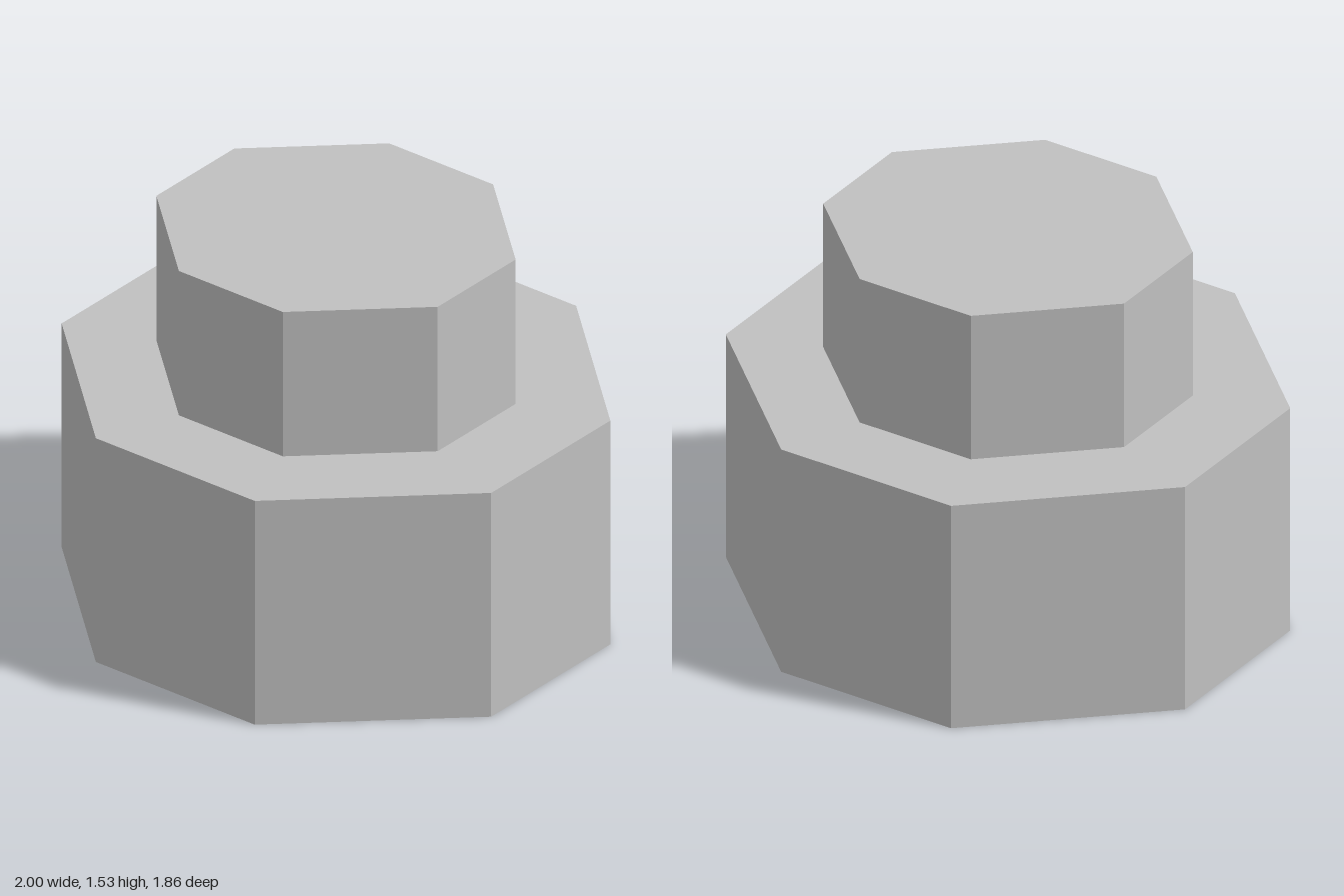
import * as THREE from 'three';

// Upright eight-sided prism: half extents hx, hz; flat sides end at cx, cz
function octagonPrism(hx, hz, cx, cz, height) {
  const corners = [
    [hx, -cz], [hx, cz], [cx, hz], [-cx, hz],
    [-hx, cz], [-hx, -cz], [-cx, -hz], [cx, -hz],
  ].map(([x, y]) => new THREE.Vector2(x, y));
  const geometry = new THREE.ExtrudeGeometry(new THREE.Shape(corners), { depth: height, bevelEnabled: false });
  return geometry.rotateX(-Math.PI / 2);
}

export function createModel() {
  const group = new THREE.Group();
  group.name = 'steppedOctagon';
  const grey = new THREE.MeshStandardMaterial({ color: 0xc0c0c0 });
  grey.name = 'light grey';

  // Wide lower block
  const base = new THREE.Mesh(octagonPrism(1, 0.928, 0.37, 0.344, 0.93), grey);
  base.name = 'base';

  // Narrow upper block
  const top = new THREE.Mesh(octagonPrism(0.655, 0.607, 0.242, 0.225, 0.6), grey);
  top.name = 'upperBlock';
  top.position.y = 0.93;

  group.add(base, top);
  return group;
}
